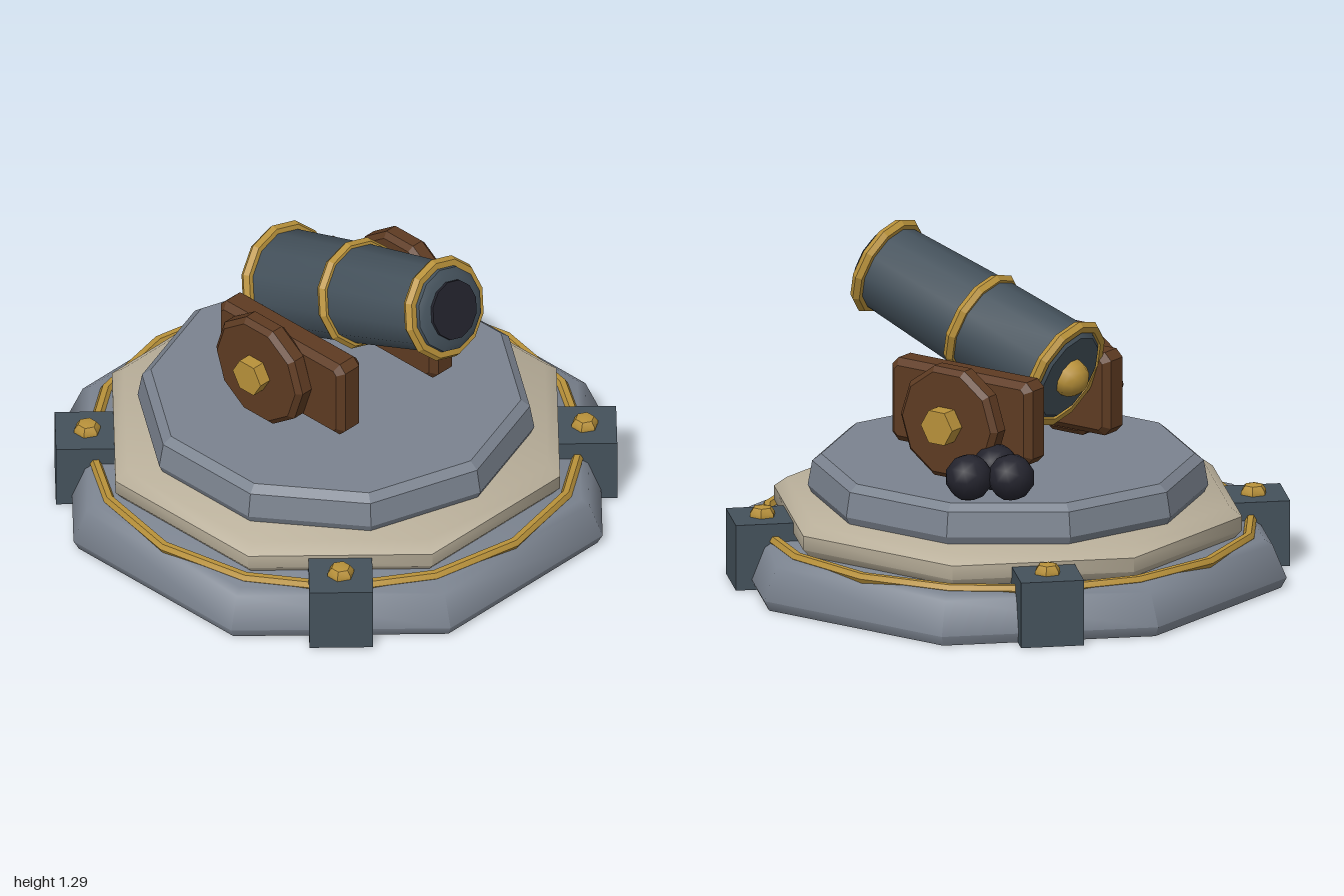
import * as THREE from 'three';
import { toCreasedNormals } from 'three/addons/utils/BufferGeometryUtils.js';

const makeMaterial = (name, color) => {
  const m = new THREE.MeshStandardMaterial({ color });
  m.name = name;
  return m;
};

// Faceted or creased solid of revolution around y; profile runs bottom to top
function turned(profile, sides, crease = 0.3) {
  const pts = profile.map(([r, y]) => new THREE.Vector2(r, y));
  return toCreasedNormals(new THREE.LatheGeometry(pts, sides), crease);
}

export function createModel() {
  const stone = makeMaterial('grey stone', 0x7b838f);
  const sand = makeMaterial('pale stone', 0xb9af9a);
  const gold = makeMaterial('brass', 0xb8913a);
  const iron = makeMaterial('slate iron', 0x44515b);
  const wood = makeMaterial('brown wood', 0x5e3b22);
  const black = makeMaterial('black iron', 0x23232d);

  const model = new THREE.Group();
  model.name = 'cannonOnPlatform';
  const add = (name, geometry, material, pos = [0, 0, 0], parent = model) => {
    const mesh = new THREE.Mesh(geometry, material);
    mesh.name = name;
    mesh.position.set(...pos);
    parent.add(mesh);
    return mesh;
  };

  // Octagonal tiers; k turns a flat-to-flat radius into a corner radius
  const k = 1 / Math.cos(Math.PI / 8);
  const base = turned([[0, 0], [0.98 * k, 0], [k, 0.04], [0.95 * k, 0.165], [0.92 * k, 0.185], [0, 0.185]], 8, 0.85);
  add('baseTier', base, stone).rotation.y = Math.PI / 8;
  const middle = turned([[0, 0.18], [0.81 * k, 0.18], [0.84 * k, 0.215], [0.84 * k, 0.27], [0.795 * k, 0.306], [0, 0.306]], 8, 0.85);
  add('middleTier', middle, sand).rotation.y = Math.PI / 8;

  // Ten-sided deck
  add('deck', turned([[0, 0.3], [0.74, 0.3], [0.757, 0.335], [0.74, 0.43], [0.706, 0.457], [0, 0.457]], 10), stone);

  // Brass inlay ring
  add('inlayRing', toCreasedNormals(new THREE.TorusGeometry(0.934, 0.022, 6, 16), 0.5), gold, [0, 0.187, 0]).rotation.x = Math.PI / 2;

  // Corner blocks with domed bolts
  for (const sx of [-1, 1]) for (const sz of [-1, 1]) {
    const block = add('cornerBlock', new THREE.BoxGeometry(0.241, 0.256, 0.241), iron, [sx * 0.665, 0.128, sz * 0.665]);
    block.rotation.y = Math.PI / 4;
    const dome = turned([[0.052, 0], [0.052, 0.012], [0.036, 0.034], [0, 0.042]], 6, 0.6);
    add('cornerBolt', dome, gold, [sx * 0.665, 0.256, sz * 0.665]);
  }

  // Barrel group: local y runs along the bore, origin at the muzzle ring
  const barrel = new THREE.Group();
  barrel.name = 'barrel';
  barrel.position.set(0, 1.1, 0.565);
  barrel.rotation.x = Math.PI / 2 - 0.332;
  model.add(barrel);
  const tube = [[0, -0.9], [0.17, -0.9], [0.197, -0.875], [0.19, -0.468], [0.17, 0], [0.163, 0.035], [0.138, 0.05], [0, 0.05]];
  add('barrelTube', turned(tube, 12, 0.6), iron, [0, 0, 0], barrel);
  add('bore', new THREE.CylinderGeometry(0.115, 0.115, 0.03, 12), black, [0, 0.047, 0], barrel);
  add('rearKnob', new THREE.SphereGeometry(0.076, 10, 8), gold, [0, -0.9, 0], barrel);
  for (const [y, radius] of [[0, 0.202], [-0.468, 0.213], [-0.873, 0.228]]) {
    const band = toCreasedNormals(new THREE.TorusGeometry(radius - 0.025, 0.025, 6, 12), 0.4);
    add('barrelBand', band, gold, [0, y, 0], barrel).rotation.x = Math.PI / 2;
  }

  // Carriage cheeks: bevelled boards on either side of the barrel
  const bevel = 0.025, c = 0.015;
  const hw = 0.327 - bevel, hh = 0.163 - bevel;
  const board = new THREE.Shape([
    [-hw + c, -hh], [hw - c, -hh], [hw, -hh + c], [hw, hh - c],
    [hw - c, hh], [-hw + c, hh], [-hw, hh - c], [-hw, -hh + c],
  ].map(([x, y]) => new THREE.Vector2(x, y)));
  const cheek = new THREE.ExtrudeGeometry(board, {
    depth: 0.124 - 2 * bevel, bevelEnabled: true, bevelThickness: bevel, bevelSize: bevel, bevelSegments: 1,
  });
  cheek.center().rotateY(Math.PI / 2);
  for (const s of [-1, 1]) add('carriageCheek', cheek, wood, [s * 0.253, 0.69, 0.002]);

  // Ten-sided wheels with hexagonal hubs
  const wheel = turned([[0, -0.044], [0.205, -0.044], [0.226, -0.024], [0.226, 0.024], [0.205, 0.044], [0, 0.044]], 10);
  wheel.rotateZ(-Math.PI / 2);
  const hub = turned([[0, -0.04], [0.073, -0.04], [0.073, 0.04], [0, 0.04]], 6);
  hub.rotateZ(-Math.PI / 2);
  for (const [wheelX, hubX] of [[-0.34, -0.395], [0.423, 0.491]]) {
    add('wheel', wheel, wood, [wheelX, 0.69, -0.05]);
    add('wheelHub', hub, gold, [hubX, 0.69, -0.05]);
  }

  // Cannonballs resting on the deck
  const ball = new THREE.IcosahedronGeometry(0.091, 1);
  for (const [x, z] of [[0.51, -0.383], [0.433, -0.255], [0.605, -0.255]]) {
    add('cannonball', ball, black, [x, 0.548, z]);
  }
  return model;
}
